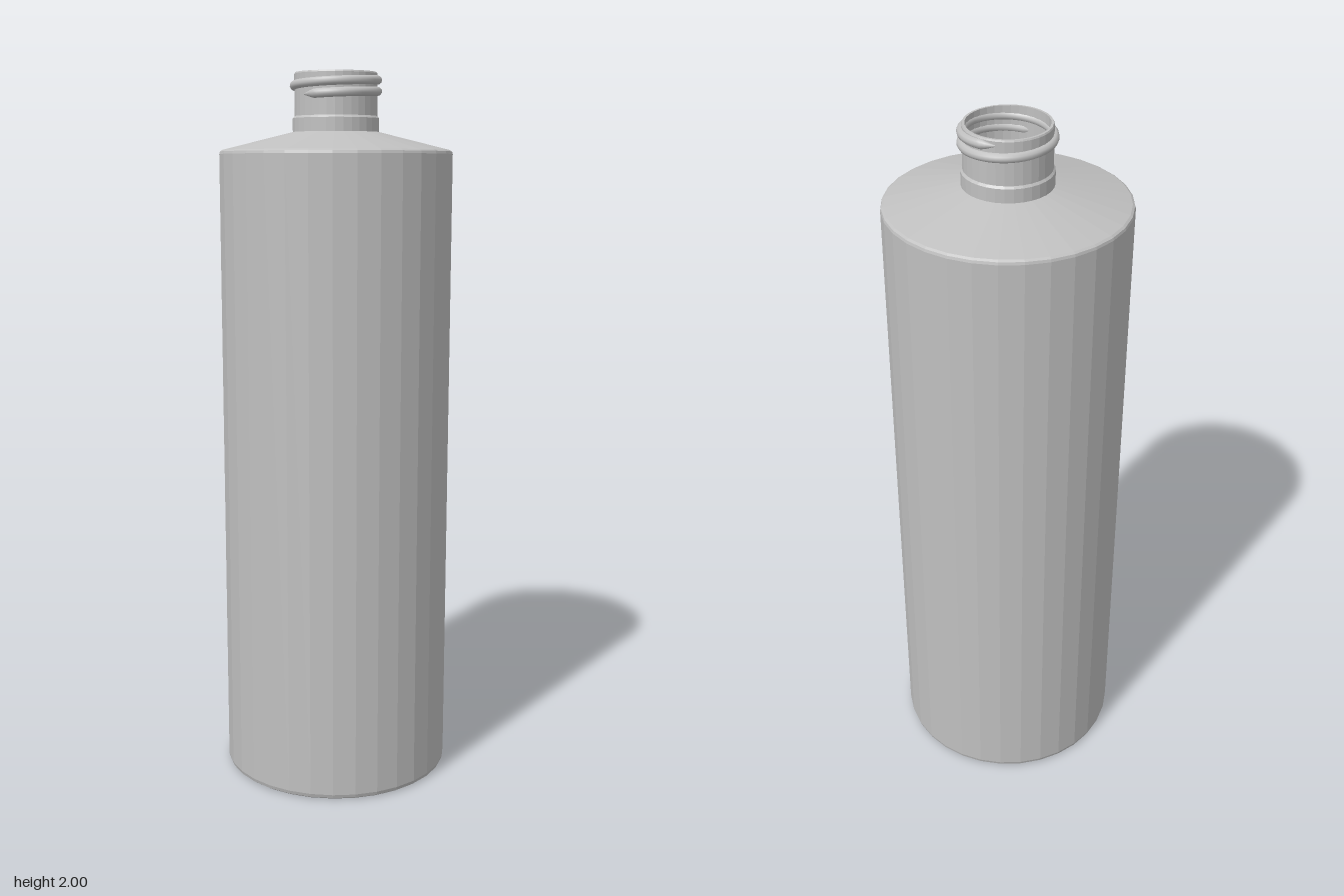
import * as THREE from 'three';

const SIDES = 32;

// Faceted surface of revolution from [radius, height] pairs
function facetedLathe(profile) {
  const points = profile.map(([r, y]) => new THREE.Vector2(r, y));
  const geometry = new THREE.LatheGeometry(points, SIDES).toNonIndexed();
  geometry.computeVertexNormals();
  return geometry;
}

// Helical screw thread, tapered at both ends
class Helix extends THREE.Curve {
  getPoint(t, target = new THREE.Vector3()) {
    const angle = THREE.MathUtils.lerp(-0.42, Math.PI * 3, t);
    return target.set(Math.sin(angle) * 0.115, 1.94 + angle * 0.0048, Math.cos(angle) * 0.115);
  }
}

function threadGeometry() {
  const rings = 96, around = 10;
  const path = new Helix();
  const geometry = new THREE.TubeGeometry(path, rings, 0.0125, around, false);
  const position = geometry.attributes.position;
  const vertex = new THREE.Vector3();
  for (let i = 0; i <= rings; i++) {
    const centre = path.getPointAt(i / rings);
    const size = Math.min(1, 0.15 + Math.min(i, rings - i) * 0.3);
    for (let j = 0; j <= around; j++) {
      const k = i * (around + 1) + j;
      vertex.fromBufferAttribute(position, k).sub(centre).multiplyScalar(size).add(centre);
      position.setXYZ(k, vertex.x, vertex.y, vertex.z);
    }
  }
  geometry.computeVertexNormals();
  return geometry;
}

export function createModel() {
  const bottle = new THREE.Group();
  bottle.name = 'bottle';
  const plastic = new THREE.MeshStandardMaterial({ color: 0xc0c0c0 });
  plastic.name = 'grey plastic';

  const add = (name, geometry) => {
    const mesh = new THREE.Mesh(geometry, plastic);
    mesh.name = name;
    bottle.add(mesh);
  };

  // Base, straight wall and sloping shoulder
  add('body', facetedLathe([
    [0, 0], [0.315, 0], [0.322, 0.005], [0.325, 0.015],
    [0.325, 1.78], [0.323, 1.787], [0.317, 1.791], [0.12, 1.84],
  ]));

  // Collar, neck and rounded rim
  add('neck', facetedLathe([
    [0.12, 1.838], [0.12, 1.877], [0.115, 1.883], [0.115, 1.996], [0.113, 2], [0.107, 2],
  ]));

  // Hollow inside, from the mouth down to the floor
  add('interior', facetedLathe([
    [0.107, 2], [0.107, 1.82], [0.305, 1.77], [0.305, 0.02], [0, 0.02],
  ]));

  add('screwThread', threadGeometry());
  return bottle;
}
